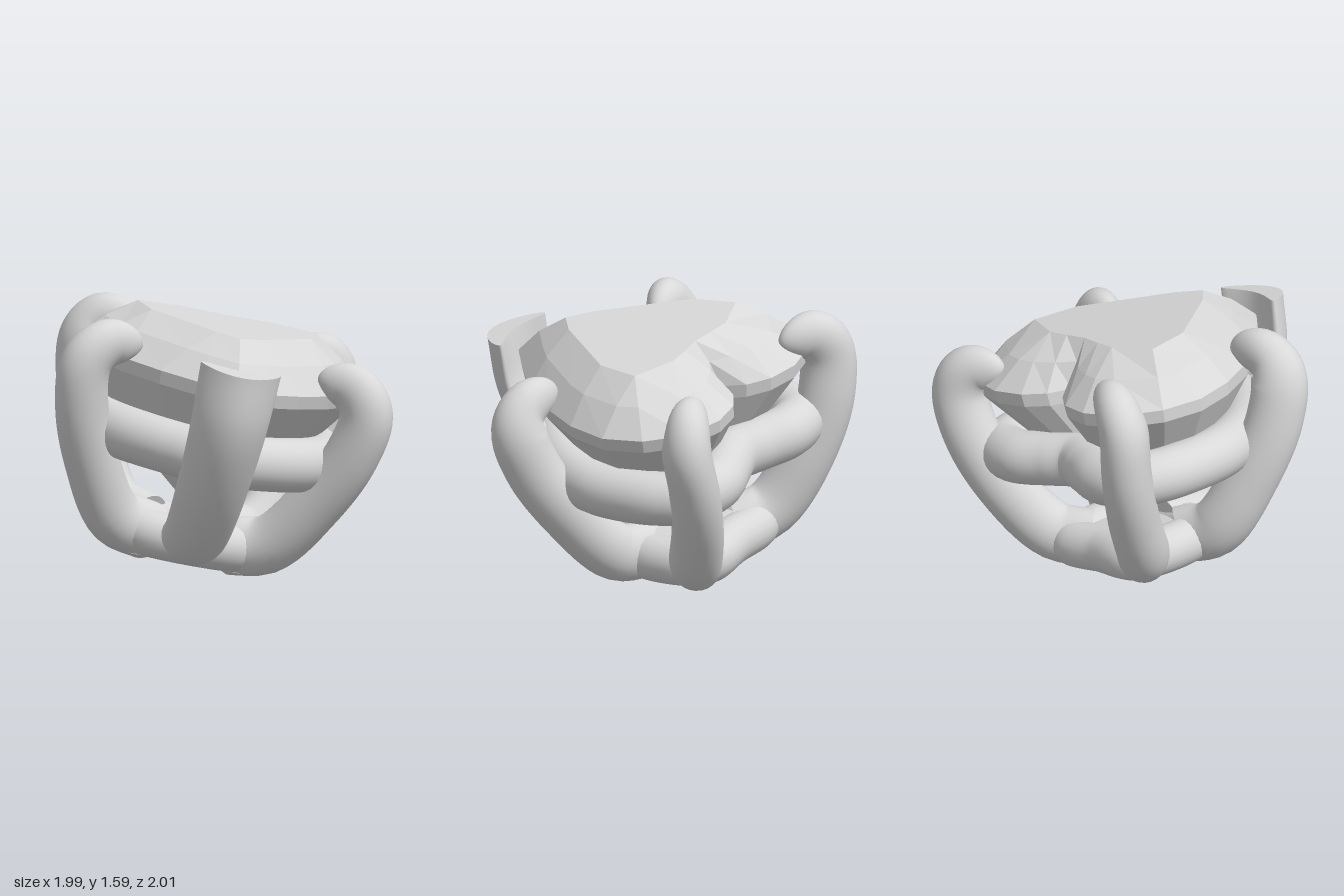
import * as THREE from 'three';

const V = (x, y, z) => new THREE.Vector3(x, y, z);

// Sweeps an oval section along a path; width/depth/bow are functions of 0..1
function sweep(points, width, depth, bow = () => 0, steps = 48, sides = 28) {
  const curve = new THREE.CatmullRomCurve3(points);
  const first = points[0], last = points[points.length - 1];
  const out = V(last.x - first.x, 0, last.z - first.z).normalize();
  const side = out.clone().cross(V(0, 1, 0)).normalize();
  const pos = [], index = [];
  const ring = (s) => {
    const c = curve.getPointAt(s), normal = curve.getTangentAt(s).cross(side).normalize();
    for (let j = 0; j < sides; j++) {
      const a = (j / sides) * Math.PI * 2, k = Math.cos(a);
      const p = c.clone().addScaledVector(side, width(s) * k)
        .addScaledVector(normal, depth(s) * Math.sin(a) - bow(s) * k * k);
      pos.push(p.x, p.y, p.z);
    }
  };
  for (let i = 0; i <= steps; i++) {
    // samples gather towards the end so the tip stays round
    ring(1 - Math.pow(1 - i / steps, 1.6));
    if (i === steps) break;
    for (let j = 0; j < sides; j++) {
      const a = i * sides + j, b = i * sides + (j + 1) % sides;
      index.push(a, b, a + sides, b, b + sides, a + sides);
    }
  }
  // flat end caps with their own vertices
  for (const s of [0, 1]) {
    const start = pos.length / 3;
    ring(s);
    const c = curve.getPointAt(s), n = curve.getTangentAt(s).cross(side).normalize();
    c.addScaledVector(n, -bow(s) * 0.3);
    pos.push(c.x, c.y, c.z);
    for (let j = 0; j < sides; j++) {
      const a = start + j, b = start + (j + 1) % sides;
      if (s) index.push(start + sides, a, b); else index.push(start + sides, b, a);
    }
  }
  const g = new THREE.BufferGeometry();
  g.setAttribute('position', new THREE.Float32BufferAttribute(pos, 3));
  g.setIndex(index);
  g.computeVertexNormals();
  return g;
}

// Half outline [x, z] from front to back, mirrored into a closed loop
const mirrorLoop = (half) => [...half, ...half.slice(1, -1).reverse().map(([x, z]) => [-x, z])];

function gemGeometry() {
  const outline = mirrorLoop([[0, 0.82], [0.2, 0.66], [0.42, 0.46], [0.62, 0.21], [0.78, -0.07], [0.86, -0.35],
    [0.81, -0.6], [0.64, -0.81], [0.4, -0.875], [0.2, -0.84], [0.07, -0.75], [0, -0.62]]);
  const table = mirrorLoop([[0, 0.45], [0.13, 0.34], [0.13, 0.34], [0.48, -0.12], [0.48, -0.12], [0.535, -0.4],
    [0.535, -0.4], [0.28, -0.5], [0.28, -0.5], [0.28, -0.5], [0.14, -0.49], [0, -0.47]]);
  const n = outline.length;
  const scaled = (k, y) => outline.map(([x, z]) => [x * k, y, -0.1 + (z + 0.1) * k]);
  const rings = [
    scaled(0.001, 0.33), scaled(0.68, 0.8), scaled(0.985, 1.11), scaled(1, 1.19),
    outline.map(([x, z], j) => [x * 0.55 + table[j][0] * 0.45, 1.34, z * 0.55 + table[j][1] * 0.45]),
    table.map(([x, z]) => [x, 1.46, z]),
  ];
  const pos = [...rings.flat(2), 0, 1.46, 0], index = [];
  for (let i = 0; i < rings.length - 1; i++) {
    for (let j = 0; j < n; j++) {
      const a = i * n + j, b = i * n + (j + 1) % n;
      index.push(a, b, a + n, b, b + n, a + n);
    }
  }
  const top = (rings.length - 1) * n;
  for (let j = 0; j < n; j++) index.push(rings.length * n, top + j, top + (j + 1) % n);
  const g = new THREE.BufferGeometry();
  g.setAttribute('position', new THREE.Float32BufferAttribute(pos, 3));
  g.setIndex(index);
  const flat = g.toNonIndexed(); // hard facets
  flat.computeVertexNormals();
  return flat;
}

export function createModel() {
  const grey = new THREE.MeshStandardMaterial({ color: 0xd8d8d8 });
  grey.name = 'grey';
  const model = new THREE.Group();
  model.name = 'heartGemSetting';
  const tilted = new THREE.Group();
  tilted.name = 'tiltedSetting';
  tilted.rotation.z = -0.2;
  tilted.position.set(-0.22 * Math.cos(0.2), 0.22 * Math.sin(0.2), 0);
  model.add(tilted);
  const add = (name, geometry) => {
    const m = new THREE.Mesh(geometry, grey);
    m.name = name;
    tilted.add(m);
    return m;
  };

  add('heartGem', gemGeometry());

  // Hooked round prongs, thick below and tapering to the tip, mirrored left and right
  const taper = (low, high) => (s) => (low + (high - low) * s)
    * (s < 0.78 ? 1 : Math.sqrt(Math.max(0, 1 - ((s - 0.78) / 0.22) ** 2)));
  const prongs = {
    sideProng: [[0.25, 0.17, -0.13], [0.46, 0.23, -0.05], [0.67, 0.54, 0.09], [0.81, 0.87, 0.21],
      [0.84, 1.13, 0.26], [0.75, 1.255, 0.24], [0.54, 1.29, 0.17]],
    backProng: [[0.23, 0.17, -0.46], [0.41, 0.23, -0.58], [0.58, 0.53, -0.75], [0.7, 0.86, -0.85],
      [0.74, 1.13, -0.86], [0.67, 1.255, -0.83], [0.46, 1.29, -0.73]],
  };
  for (const [name, pts] of Object.entries(prongs)) {
    for (const m of [1, -1]) {
      add((m > 0 ? 'left' : 'right') + name[0].toUpperCase() + name.slice(1),
        sweep(pts.map(([x, y, z]) => V(m * x, y, z)), taper(0.16, 0.14), taper(0.175, 0.165)));
    }
  }

  // Wide front prong, bowed round the tip of the heart
  add('frontProng', sweep(
    [[0.2, -0.1], [0.21, 0.2], [0.42, 0.5], [0.74, 0.75], [1.0, 0.87], [1.315, 0.91]].map(([y, z]) => V(0, y, z)),
    (s) => 0.18 + 0.06 * s,
    (s) => 0.16 - 0.08 * s,
    (s) => 0.13 * s));

  // Gallery rail under the girdle, tucked inside the prongs
  const rail = mirrorLoop([[0, 0.57], [0.25, 0.43], [0.51, 0.18], [0.66, -0.1], [0.69, -0.35], [0.66, -0.58],
    [0.57, -0.73], [0.38, -0.77], [0.18, -0.7], [0, -0.64]]).map(([x, z]) => V(x, 0.75, z));
  add('galleryRail', new THREE.TubeGeometry(new THREE.CatmullRomCurve3(rail, true), 120, 0.16, 24, true));

  // Base ring with a closed floor
  const base = mirrorLoop([[0, 0.0], [0.28, -0.08], [0.34, -0.32], [0.28, -0.54], [0, -0.54]])
    .map(([x, z]) => V(x, 0.165, z));
  add('baseRing', new THREE.TubeGeometry(new THREE.CatmullRomCurve3(base, true), 80, 0.14, 20, true));
  add('baseFloor', new THREE.BoxGeometry(0.66, 0.22, 0.52)).position.set(0, 0.14, -0.29);

  return model;
}
